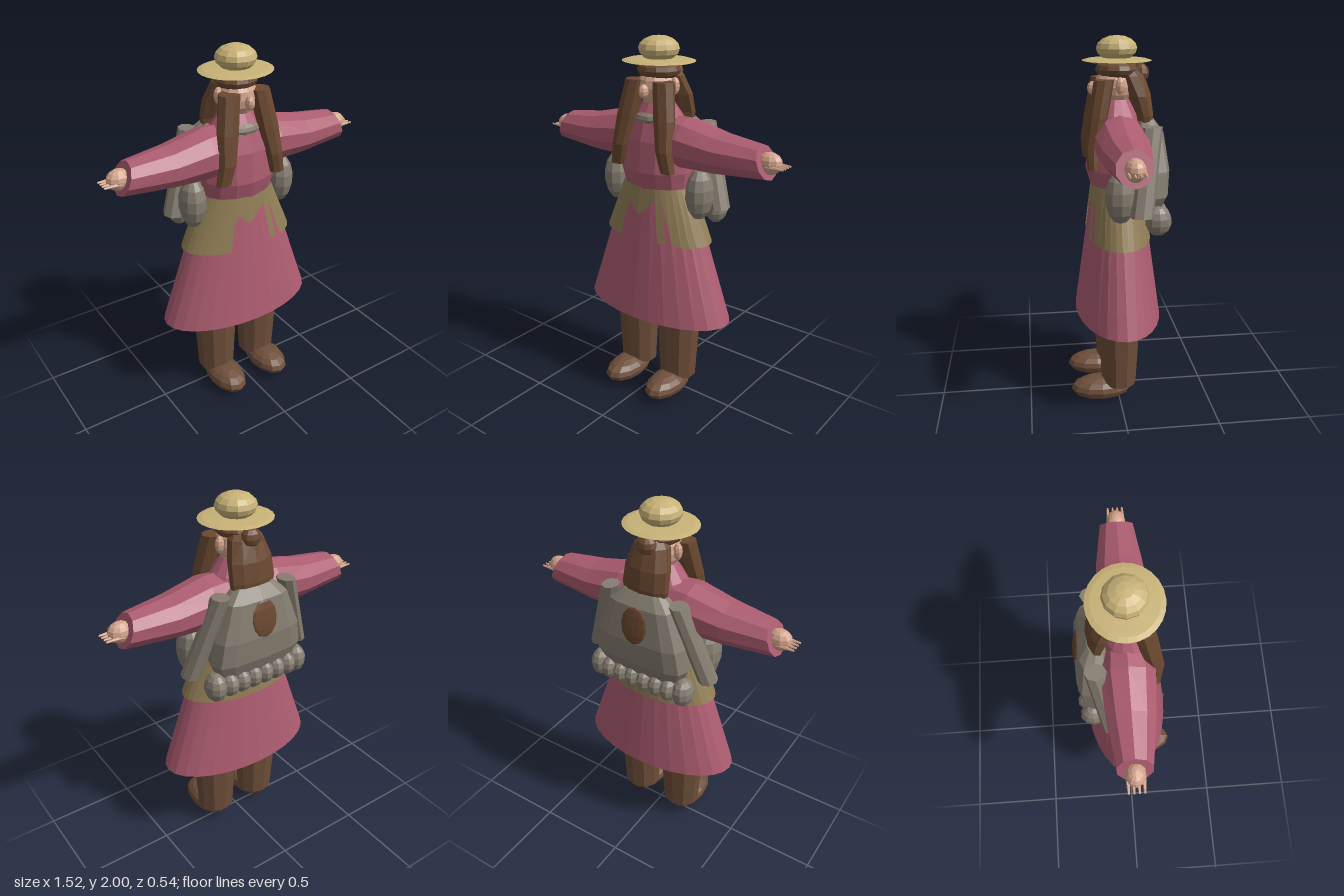
import * as THREE from 'three';

const mat = (name, color, side = THREE.FrontSide) =>
  Object.assign(new THREE.MeshStandardMaterial({ color, side }), { name });

// Faceted normals for a low-poly finish
function facet(geo) {
  const g = geo.index ? geo.toNonIndexed() : geo;
  g.computeVertexNormals();
  return g;
}

// Mirror a faceted geometry across x = 0, keeping faces outward
function mirror(geo) {
  const g = geo.clone().scale(-1, 1, 1);
  const p = g.attributes.position;
  const a = new THREE.Vector3(), b = new THREE.Vector3();
  for (let i = 0; i < p.count; i += 3) {
    a.fromBufferAttribute(p, i + 1);
    b.fromBufferAttribute(p, i + 2);
    p.setXYZ(i + 1, b.x, b.y, b.z);
    p.setXYZ(i + 2, a.x, a.y, a.z);
  }
  g.computeVertexNormals();
  return g;
}

// Skin a stack of closed loops of [x, y, z] points
function skin(loops, capped = true) {
  const v = [];
  const n = loops[0].length;
  for (let i = 0; i < loops.length - 1; i++) {
    for (let j = 0; j < n; j++) {
      const k = (j + 1) % n, lo = loops[i], hi = loops[i + 1];
      v.push(...lo[j], ...lo[k], ...hi[k], ...lo[j], ...hi[k], ...hi[j]);
    }
  }
  if (capped) {
    const first = loops[0], last = loops[loops.length - 1];
    for (let j = 1; j < n - 1; j++) {
      v.push(...first[0], ...first[j + 1], ...first[j]);
      v.push(...last[0], ...last[j], ...last[j + 1]);
    }
  }
  const g = new THREE.BufferGeometry();
  g.setAttribute('position', new THREE.Float32BufferAttribute(v, 3));
  return facet(g);
}

// Upright form from rings [x, y, z, radiusX, radiusZ], bottom to top
function stack(rings, sides, { capped = true, power = 1 } = {}) {
  const round = (t) => Math.sign(t) * Math.abs(t) ** power;
  return skin(rings.map(([x, y, z, rx, rz]) =>
    Array.from({ length: sides }, (_, j) => {
      const a = (j / sides) * Math.PI * 2;
      return [x + rx * round(Math.sin(a)), y, z + rz * round(Math.cos(a))];
    })), capped);
}

function ball(x, y, z, rx, ry, rz, w = 12, h = 8) {
  return facet(new THREE.SphereGeometry(1, w, h).scale(rx, ry, rz).translate(x, y, z));
}

// Sleeve along x; the cuff slants outward toward its lower edge
function sleeveGeometry() {
  const rings = [[0.1, 1.48, 0.13, 0.13, 0], [0.2, 1.475, 0.135, 0.14, 0],
    [0.4, 1.455, 0.108, 0.125, 0], [0.65, 1.453, 0.084, 0.09, 0.032]];
  return skin(rings.map(([x, y, ry, rz, slant]) =>
    Array.from({ length: 10 }, (_, j) => {
      const a = (j / 10) * Math.PI * 2;
      return [x - slant * Math.cos(a), y + ry * Math.cos(a), rz * Math.sin(a) - 0.005];
    })));
}

// Flared apron whose front edge is torn; each entry is [degrees, hem height]
function apronGeometry() {
  const hem = [[-24, 0.94], [-24.5, 1.08], [-18, 1.14], [-4, 1.08], [21, 1.17],
    [21, 0.95], [29, 0.95], [31, 1.17], [37, 0.95]];
  hem.splice(1, 1, [-23, 1.08]);
  for (let d = 47; d <= 327; d += 10) hem.push([d, 0.94]);
  const point = (deg, y) => {
    const a = THREE.MathUtils.degToRad(deg), t = (1.235 - y) / 0.295;
    return [(0.207 + 0.126 * t) * Math.sin(a), y, -0.005 + (0.142 + 0.037 * t) * Math.cos(a)];
  };
  return skin([hem.map(([d, y]) => point(d, y)), hem.map(([d]) => point(d, 1.235))], false);
}

export function createModel() {
  const model = new THREE.Group();
  model.name = 'traveller';

  const cloth = mat('rose cloth', 0xac5c70, THREE.DoubleSide);
  const apronTan = mat('apron tan', 0x917e56, THREE.DoubleSide);
  const leather = mat('brown leather', 0x6e4e3a);
  const hair = mat('brown hair', 0x6a4830);
  const canvas = mat('grey canvas', 0x857d70);
  const straw = mat('straw', 0xc8b277);
  const flesh = mat('skin', 0xd2a38a);

  const add = (name, geo, material) => {
    const m = new THREE.Mesh(geo, material);
    m.name = name;
    model.add(m);
  };
  const pair = (name, geo, material) => {
    add(name + 'Left', geo, material);
    add(name + 'Right', mirror(geo), material);
  };

  // Legs and shoes
  pair('leg', stack([[0.143, 0.1, 0, 0.108, 0.097], [0.145, 0.5, -0.002, 0.13, 0.117],
    [0.13, 0.8, -0.002, 0.13, 0.12]], 10), leather);
  pair('shoe', ball(0.146, 0.07, 0.1, 0.098, 0.066, 0.17), leather);

  // Dress and apron
  add('skirt', stack([[0, 0.5, -0.005, 0.46, 0.233], [0, 1.235, -0.005, 0.2, 0.132]],
    28, { capped: false }), cloth);
  add('apron', apronGeometry(), apronTan);
  add('bodice', stack([[0, 1.22, 0, 0.195, 0.135], [0, 1.32, 0.005, 0.21, 0.158],
    [0, 1.48, 0, 0.2, 0.15], [0, 1.6, 0, 0.14, 0.115], [0, 1.68, 0, 0.08, 0.07]], 14), cloth);
  add('collar', ball(0, 1.59, 0.08, 0.09, 0.036, 0.048, 10, 6), canvas);

  // Arms and hands
  pair('sleeve', sleeveGeometry(), cloth);
  pair('hand', ball(0.667, 1.453, -0.005, 0.066, 0.055, 0.05, 10, 8), flesh);
  for (let i = 0; i < 4; i++) {
    const finger = new THREE.CylinderGeometry(0.005, 0.012, 0.09, 6)
      .rotateZ(-Math.PI / 2).translate(0.715, 1.443, -0.043 + i * 0.025);
    pair('finger' + (i + 1), facet(finger), flesh);
  }

  // Head
  add('head', ball(0, 1.745, 0.01, 0.1, 0.105, 0.1), flesh);
  add('nose', ball(0, 1.735, 0.12, 0.024, 0.036, 0.03, 8, 6), flesh);
  pair('ear', ball(0.1, 1.755, -0.01, 0.025, 0.045, 0.023, 8, 6), flesh);

  // Hair
  add('hairCap', ball(0, 1.83, -0.005, 0.115, 0.055, 0.112), hair);
  pair('braid', stack([[0.165, 1.34, 0.135, 0.042, 0.03], [0.142, 1.45, 0.135, 0.048, 0.042],
    [0.12, 1.6, 0.105, 0.06, 0.05], [0.088, 1.785, 0.07, 0.058, 0.053]], 8), hair);
  add('backHair', stack([[0, 1.46, -0.14, 0.11, 0.045], [0, 1.6, -0.145, 0.13, 0.052],
    [0, 1.7, -0.12, 0.125, 0.065], [0, 1.8, -0.08, 0.095, 0.07],
    [0, 1.85, -0.06, 0.05, 0.04]], 10), hair);
  add('bun', ball(0, 1.81, -0.13, 0.055, 0.05, 0.045, 10, 6), hair);

  // Hat
  add('hatBrim', ball(0, 1.875, -0.005, 0.195, 0.014, 0.181, 24, 6), straw);
  add('hatCrown', ball(0, 1.935, -0.005, 0.107, 0.065, 0.107), straw);

  // Backpack with a patch, side rolls and pouches
  add('backpack', stack([[0, 1.12, -0.16, 0.23, 0.07], [0, 1.2, -0.17, 0.27, 0.09],
    [0, 1.33, -0.175, 0.25, 0.093], [0, 1.52, -0.165, 0.18, 0.075],
    [0, 1.58, -0.15, 0.11, 0.045]], 12, { power: 0.6 }), canvas);
  const patch = new THREE.SphereGeometry(1, 12, 6).scale(0.075, 0.1, 0.012)
    .rotateX(0.145).translate(0, 1.425, -0.253);
  add('backpackPatch', facet(patch), hair);
  pair('sideRoll', stack([[0.342, 1.13, -0.09, 0.05, 0.06], [0.2, 1.56, -0.16, 0.045, 0.055]], 8), canvas);
  pair('sidePouch', ball(0.278, 1.22, 0.01, 0.072, 0.14, 0.082, 10, 7), canvas);

  // Lumpy bedroll under the backpack
  for (let i = 0; i < 8; i++) {
    const x = -0.255 + i * 0.073;
    const end = i === 0 || i === 7 ? 1 : 0;
    add('bedrollLump' + (i + 1),
      ball(x, 1.08, end ? -0.19 : -0.2, end ? 0.058 : 0.05, end ? 0.08 : 0.068, 0.07, 10, 7), canvas);
  }
  return model;
}
